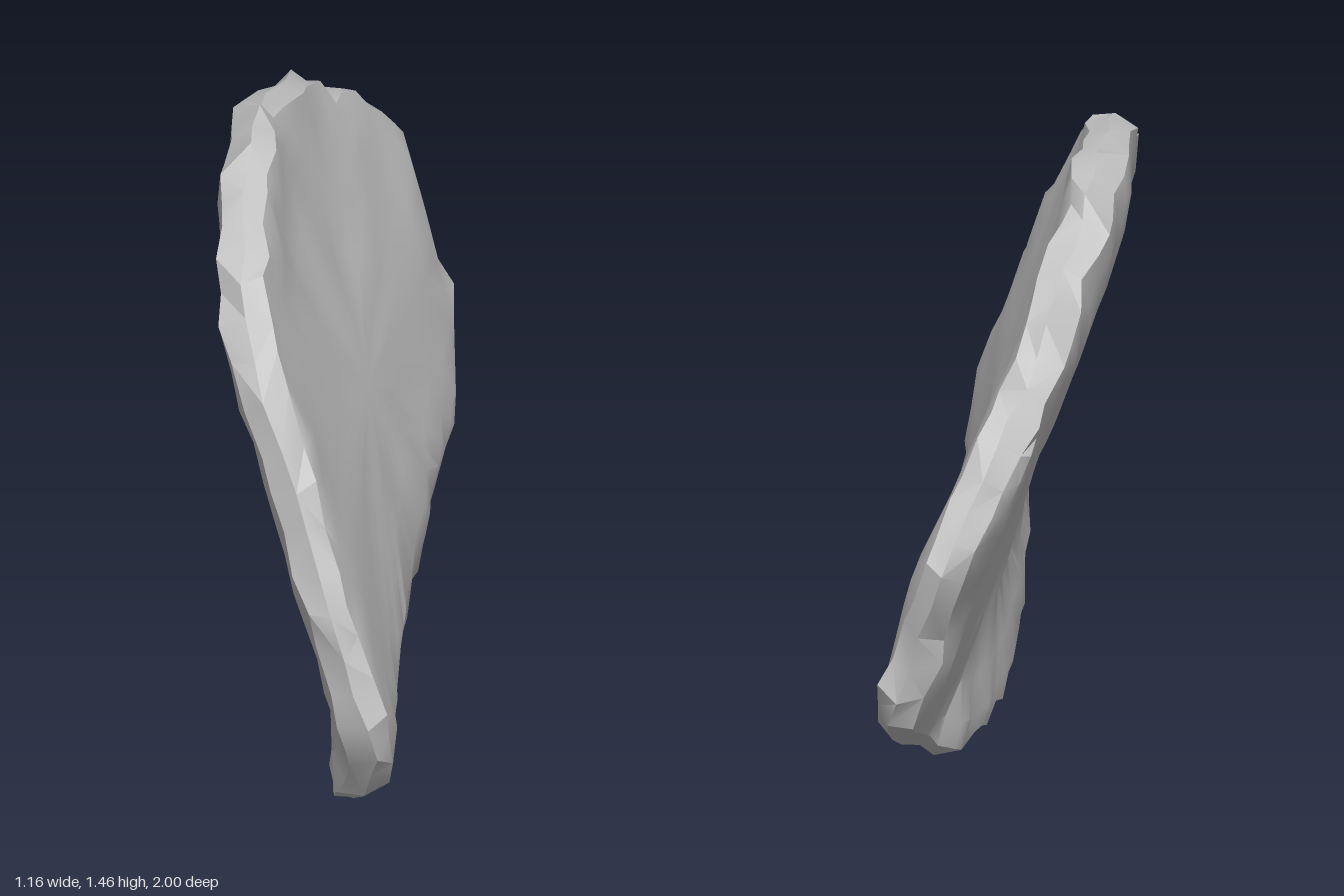
import * as THREE from 'three';
import { toCreasedNormals } from 'three/addons/utils/BufferGeometryUtils.js';

// Small seeded random, -1..1
let seed = 7;
const rnd = () => {
  seed = (seed * 16807) % 2147483647;
  return (seed / 2147483647) * 2 - 1;
};

// Outline of the slab as (z, y)
const OUTLINE = [
  [1, .6], [.97, .8], [.9, 1.02], [.8, 1.2], [.7, 1.3], [.6, 1.36], [.45, 1.4], [.3, 1.43],
  [.15, 1.44], [0, 1.42], [-.2, 1.36], [-.35, 1.3], [-.48, 1.25], [-.6, 1.14], [-.73, 1.1],
  [-.85, 1], [-.96, .91], [-1, .81], [-.96, .66], [-.98, .44], [-.85, .32], [-.6, .19],
  [-.43, .1], [-.2, .05], [.05, .02], [.25, 0], [.4, .02], [.6, 0], [.7, .05], [.83, .13],
  [.95, .3], [.99, .45],
];

// How far the slab's middle surface leans in x at each height
const LEAN = [[-.1, -.04], [.05, -.015], [.3, .025], [.7, -.1], [1.2, -.3], [1.6, -.38]];
function midX(z, y) {
  let k = 0;
  while (k < LEAN.length - 2 && y > LEAN[k + 1][0]) k++;
  const [[y0, u0], [y1, u1]] = [LEAN[k], LEAN[k + 1]];
  return .45 * z + .07 * z * z + .03 * z * z * z + u0 + (u1 - u0) * (y - y0) / (y1 - y0);
}

// Rings from the +x face over the rim to the -x face: [scale, offset, jitter]
const RINGS = [
  [0, .072, 0], [.2, .072, 0], [.4, .072, 0], [.6, .072, 0], [.76, .071, .003],
  [.88, .069, .006], [.96, .058, .018], [.998, .008, .012], [.965, -.054, .02],
  [.88, -.072, .012], [.75, -.077, .004], [.55, -.078, 0], [.35, -.078, 0],
  [.18, -.078, 0], [0, -.078, 0],
];

function slabGeometry() {
  const N = 60;
  const curve = new THREE.CatmullRomCurve3(
    OUTLINE.map(([z, y]) => new THREE.Vector3(0, y, z)), true, 'centripetal');
  const rim = curve.getSpacedPoints(N).slice(0, N);
  const normal = new THREE.Vector3(1, .3, -.47).normalize();
  const cy = .72;

  const rings = RINGS.map(([s, h, j]) => rim.map((p) => {
    const z = p.z * s + rnd() * j;
    const y = cy + (p.y - cy) * s + rnd() * j;
    // Soft waves on the broad faces
    const wave = .006 * Math.sin(13 * z + 4 * y) * Math.cos(9 * y - 3 * z)
      + .003 * Math.sin(23 * z - 8 * y + h * 40);
    const v = new THREE.Vector3(midX(z, y) + wave, y, z);
    return v.addScaledVector(normal, h + rnd() * j * .6);
  }));

  const pos = [];
  const tri = (...vs) => vs.forEach((v) => pos.push(v.x, v.y, v.z));
  for (let k = 0; k < rings.length - 1; k++) {
    for (let i = 0; i < N; i++) {
      const n = (i + 1) % N;
      const a = rings[k][i], b = rings[k][n], c = rings[k + 1][i], d = rings[k + 1][n];
      if (k === 0) tri(b, d, c);
      else if (k === rings.length - 2) tri(a, b, c);
      else if (rnd() > 0) { tri(a, b, c); tri(b, d, c); }
      else { tri(a, b, d); tri(a, d, c); }
    }
  }
  const geo = new THREE.BufferGeometry();
  geo.setAttribute('position', new THREE.Float32BufferAttribute(pos, 3));

  // Stand on the ground, centred
  geo.computeBoundingBox();
  const { min, max } = geo.boundingBox;
  geo.translate(-(min.x + max.x) / 2, -min.y, -(min.z + max.z) / 2);
  // Smooth broad faces, sharp chipped rim
  return toCreasedNormals(geo, .45);
}

export function createModel() {
  seed = 7;
  const group = new THREE.Group();
  group.name = 'stoneSlab';
  const stone = new THREE.MeshStandardMaterial({ color: 0xc8c8c8 });
  stone.name = 'stone grey';
  const slab = new THREE.Mesh(slabGeometry(), stone);
  slab.name = 'slab';
  group.add(slab);
  return group;
}
